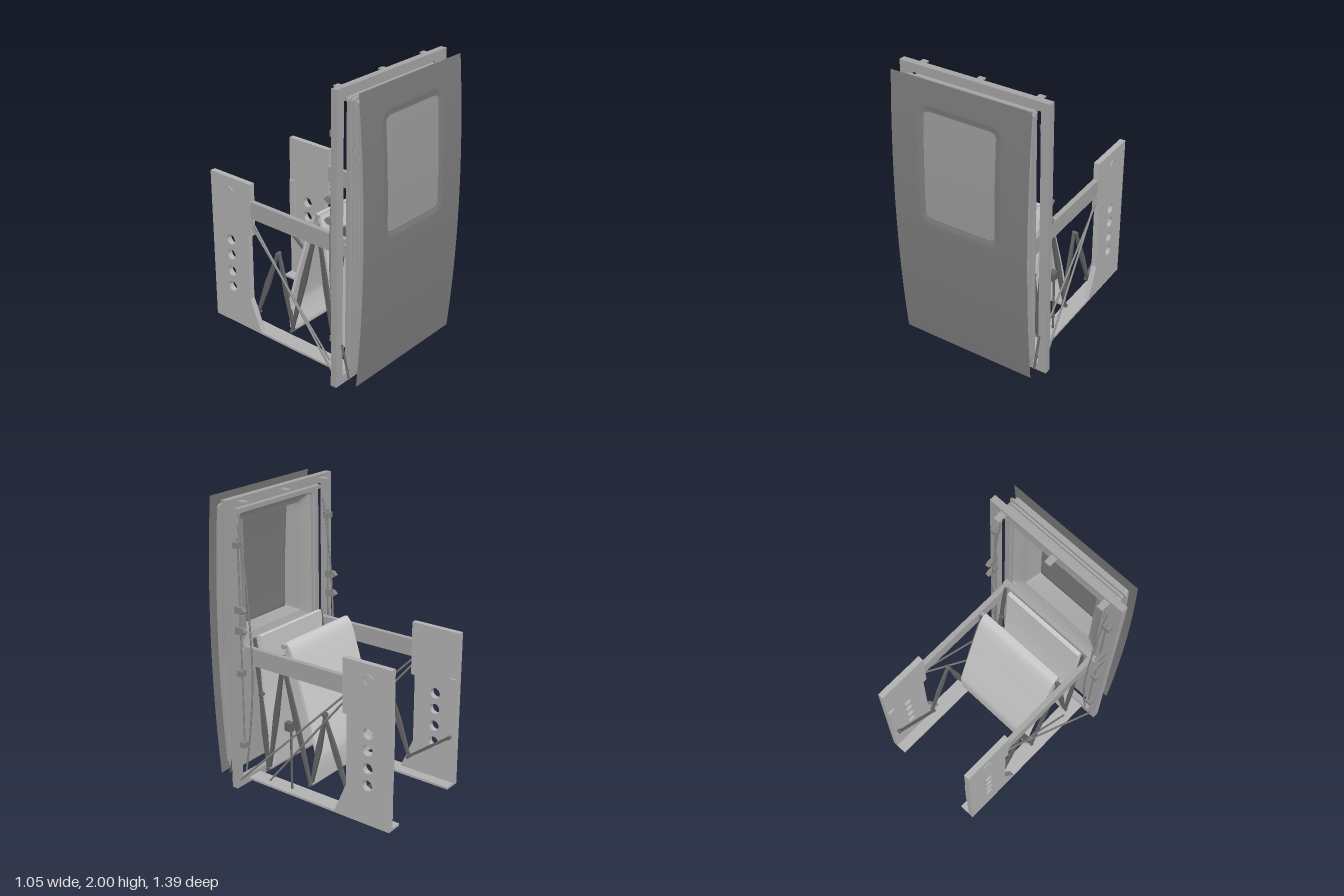
import * as THREE from 'three';
import { toCreasedNormals } from 'three/addons/utils/BufferGeometryUtils.js';

const paint = (color, side = THREE.FrontSide) => new THREE.MeshStandardMaterial({ color, side });
const grey = paint(0xb2b2b2);
const frameGrey = paint(0xa4a4a4);
const panelGrey = paint(0xcccccc);
const dark = paint(0x646464);
const steel = paint(0x868686);
const skinGrey = paint(0x7c7c7c, THREE.DoubleSide);
const paneGrey = paint(0x9a9a9a, THREE.DoubleSide);
const liningGrey = paint(0xa4a4a4, THREE.DoubleSide);
const V = (x, y, z) => new THREE.Vector3(x, y, z);

export function createModel() {
  const root = new THREE.Group();
  const add = (name, geo, mat = grey) => {
    const m = new THREE.Mesh(geo, mat);
    m.name = name;
    root.add(m);
    return m;
  };
  // box given by its limits on each axis
  const box = (name, x0, x1, y0, y1, z0, z1, mat) =>
    add(name, new THREE.BoxGeometry(Math.abs(x1 - x0), y1 - y0, z1 - z0), mat)
      .position.set((x0 + x1) / 2, (y0 + y1) / 2, (z0 + z1) / 2);
  // round bar between two points
  const rod = (name, a, b, r, mat, sides = 12) => {
    const d = b.clone().sub(a);
    const m = add(name, new THREE.CylinderGeometry(r, r, d.length(), sides), mat);
    m.position.copy(a).addScaledVector(d, 0.5);
    m.quaternion.setFromUnitVectors(V(0, 1, 0), d.normalize());
  };
  // side profile of [z, y] points, extruded along x about a centre
  const profile = (name, pts, x, width, mat, holes = []) => {
    const s = new THREE.Shape(pts.map(p => new THREE.Vector2(p[0], p[1])));
    for (const [z, y, r] of holes) s.holes.push(new THREE.Path().absarc(z, y, r, 0, Math.PI * 2, true));
    const g = new THREE.ExtrudeGeometry(s, { depth: width, bevelEnabled: false, curveSegments: 24 });
    g.rotateY(-Math.PI / 2).translate(x + width / 2, 0, 0);
    add(name, toCreasedNormals(g, 0.4), mat);
  };
  // flat bar that widens in the middle
  const link = (x, a, b, w = 0.021) => {
    const dz = b[0] - a[0], dy = b[1] - a[1], l = Math.hypot(dz, dy);
    const at = (t, o) => [a[0] + dz * t - dy / l * o, a[1] + dy * t + dz / l * o];
    profile('foldingLink', [at(-0.01, 0.008), at(0.5, w), at(1.01, 0.008), at(1.01, -0.008), at(0.5, -w), at(-0.01, -0.008)], x, 0.018, dark);
  };
  // rounded rectangle with split long sides so that it can be bent
  const roundRect = (hx, y0, y1, r, n = 14) => {
    const pts = [];
    const corner = (cx, cy, a0) => {
      for (let i = 0; i <= 5; i++) {
        const a = a0 + i / 5 * Math.PI / 2;
        pts.push(new THREE.Vector2(cx + r * Math.cos(a), cy + r * Math.sin(a)));
      }
    };
    const edge = (x, a, b) => {
      for (let i = 1; i < n; i++) pts.push(new THREE.Vector2(x, a + (b - a) * i / n));
    };
    corner(-hx + r, y0 + r, Math.PI);
    corner(hx - r, y0 + r, -Math.PI / 2);
    edge(hx, y0 + r, y1 - r);
    corner(hx - r, y1 - r, 0);
    corner(-hx + r, y1 - r, Math.PI / 2);
    edge(-hx, y1 - r, y0 + r);
    return pts;
  };
  const bow = y => -0.05 * (y - 1) ** 2;

  // bowed outer skin with a shallow dish around the window
  const skinZ = (x, y) => {
    const qx = Math.abs(x) - 0.215, qy = Math.abs(y - 1.43) - 0.33;
    const d = Math.hypot(Math.max(qx, 0), Math.max(qy, 0)) + Math.min(Math.max(qx, qy), 0) - 0.04;
    return 0.693 + bow(y) - 0.008 * (1 - THREE.MathUtils.smoothstep(d, -0.005, 0.045));
  };
  const bend = (g, rule) => {
    const p = g.attributes.position;
    for (let i = 0; i < p.count; i++) p.setXYZ(i, ...rule(p.getX(i), p.getY(i)));
    g.computeVertexNormals();
    return g;
  };
  add('doorSkin', bend(new THREE.PlaneGeometry(0.98, 1.95, 90, 160).translate(0, 1.025, 0),
    (x, y) => [x, y, skinZ(x, y)]), skinGrey);

  // window pane with rounded corners
  add('windowPane', bend(new THREE.PlaneGeometry(2, 0.74, 40, 74).translate(0, 1.43, 0), (x, y) => {
    const r = 0.035, c = Math.max(0, Math.abs(y - 1.43) - 0.37 + r);
    const px = x / 2 * 2 * (0.255 - r + Math.sqrt(Math.max(0, r * r - c * c)));
    return [px, y, skinZ(px, y) + 0.0015];
  }), paneGrey);

  // stacked door rings behind the skin
  [[0.44, 0.515, 0.03], [0.455, 0.545, 0.014], [0.435, 0.559, 0.022], [0.455, 0.581, 0.014],
    [0.44, 0.595, 0.022], [0.465, 0.617, 0.014], [0.45, 0.631, 0.035]].forEach(([hx, z, depth], i) => {
    const s = new THREE.Shape(roundRect(hx, 0.56 - hx, 1.49 + hx, 0.02));
    s.holes.push(new THREE.Path(roundRect(0.37, 0.98, 1.88, 0.03).reverse()));
    const g = new THREE.ExtrudeGeometry(s, { depth, bevelEnabled: false });
    const q = g.attributes.position;
    for (let k = 0; k < q.count; k++) q.setZ(k, q.getZ(k) + z + bow(q.getY(k)) * i / 6);
    g.computeVertexNormals();
    add('doorLayer', g, frameGrey);
  });

  // tapered lining from the back of the door to the window
  const loops = [[0.39, 0.96, 1.9, 0.51, 0.03], [0.36, 0.99, 1.87, 0.535, 0.02],
    [0.285, 1.04, 1.82, 0.56, 0.008], [0.258, 1.055, 1.805, 0.678, 0.008]];
  const pos = [], idx = [], n = roundRect(1, 0, 2, 0.05).length;
  loops.forEach(([hx, a, b, z, r], j) => {
    roundRect(hx, a, b, r).forEach((v, i) => {
      pos.push(v.x, v.y, z + (j === 3 ? bow(v.y) : 0));
      if (j < 3) {
        const c = j * n + i, e = j * n + (i + 1) % n;
        idx.push(c, c + n, e, e, c + n, e + n);
      }
    });
  });
  const lining = new THREE.BufferGeometry();
  lining.setAttribute('position', new THREE.Float32BufferAttribute(pos, 3));
  lining.setIndex(idx);
  add('windowLining', toCreasedNormals(lining, 0.4), liningGrey);

  // door frame
  const outer = new THREE.Shape([[-0.525, 0], [0.525, 0], [0.525, 2], [-0.525, 2]].map(a => new THREE.Vector2(...a)));
  outer.holes.push(new THREE.Path([[-0.465, 0.06], [-0.465, 1.94], [0.465, 1.94], [0.465, 0.06]].map(a => new THREE.Vector2(...a))));
  add('doorFrame', new THREE.ExtrudeGeometry(outer, { depth: 0.045, bevelEnabled: false }).translate(0, 0, 0.47), frameGrey);
  for (const x of [-0.41, 0, 0.41]) box('topClip', x - 0.022, x + 0.022, 1.972, 1.98, 0.405, 0.475, frameGrey);
  box('topCrossbar', -0.42, 0.42, 1.9, 1.925, 0.475, 0.515, frameGrey);
  box('middleCrossbar', -0.42, 0.42, 0.95, 0.975, 0.475, 0.515, frameGrey);

  for (const s of [-1, 1]) {
    // side post with round holes, foot rail and arm
    profile('sidePost', [[-0.695, 0.02], [-0.265, 0.02], [-0.265, 0.04], [-0.36, 0.26], [-0.36, 0.75], [-0.33, 0.75], [-0.33, 1.125], [-0.695, 1.125]],
      s * 0.385, 0.04, grey, [0.3, 0.42, 0.545, 0.66].map(y => [-0.525, y, 0.037]));
    box('footRail', s * 0.29, s * 0.405, 0.02, 0.036, -0.695, 0.47);
    box('arm', s * 0.367, s * 0.403, 0.88, 1, -0.34, 0.48, frameGrey);
    box('postFoot', s * 0.4, s * 0.407, 0.025, 0.07, -0.54, -0.5);
    const hook = add('postHook', new THREE.TorusGeometry(0.034, 0.004, 8, 24, Math.PI * 1.4));
    hook.position.set(s * 0.406, 1.02, -0.525);
    hook.rotation.y = Math.PI / 2;
    box('postInnerPlate', s * 0.352, s * 0.367, 0.36, 0.8, -0.69, -0.64);

    // diagonal stays
    rod('outerStay', V(s * 0.395, 0.86, -0.33), V(s * 0.49, 0.05, 0.475), 0.007, steel);
    rod('innerStay', V(s * 0.395, 0.82, -0.33), V(s * 0.36, 0.04, 0.32), 0.007, steel);

    // folding links and their pivots
    const knees = [[0.39, 0.66], [0.34, 0.12], [0.2, 0.97], [-0.025, 0.12], [-0.145, 0.66], [-0.34, 0.14], [-0.66, 0.38]];
    knees.forEach((k, i) => {
      if (i) link(s * (i % 2 ? 0.35 : 0.335), knees[i - 1], k, i === 6 ? 0.01 : 0.021);
      rod('pivot', V(s * 0.325, k[1], k[0]), V(s * 0.363, k[1], k[0]), 0.013, dark, 14);
    });
    link(s * 0.35, [0.43, 1.05], [0.39, 0.66], 0.014);

    // bowed bars and catches on the back of the frame
    const bar = new THREE.CatmullRomCurve3([[1.83, 0.47], [1.55, 0.425], [1.2, 0.395], [0.8, 0.385], [0.4, 0.42], [0.1, 0.465]]
      .map(([y, z]) => V(s * 0.435, y, z)));
    add('bowedBar', new THREE.TubeGeometry(bar, 30, 0.006, 8), steel);
    rod('latchRod', V(s * 0.46, 1.75, 0.45), V(s * 0.46, 0.3, 0.45), 0.006, steel);
    rod('lowerCatch', V(s * 0.475, 0.07, 0.58), V(s * 0.475, 0.3, 0.52), 0.008, dark);
    for (const y of [1.71, 0.84, 0.32]) box('hinge', s * 0.44, s * 0.49, y - 0.02, y + 0.02, 0.43, 0.475, steel);
    for (const y of [1.28, 1.14]) {
      profile('latch', [[0.475, y - 0.025], [0.475, y + 0.025], [0.41, y + 0.025], [0.385, y], [0.41, y - 0.02]], s * 0.478, 0.03, steel);
    }
  }

  // folded panels hanging between the links
  const panel = (name, pts, t, width) => {
    const c = new THREE.SplineCurve(pts.map(a => new THREE.Vector2(...a))).getPoints(24).map(v => [v.x, v.y]);
    profile(name, [...c, ...c.map(([z, y]) => [z + t, y]).reverse()], -0.01, width, panelGrey);
  };
  panel('rearPanel', [[0.185, 1.06], [0.14, 0.995], [0.05, 0.71], [-0.05, 0.38], [-0.065, 0.27], [-0.055, 0.13]], 0.022, 0.655);
  panel('middlePanel', [[0.19, 1.05], [0.225, 0.9], [0.285, 0.5], [0.325, 0.13]], 0.022, 0.64);
  panel('frontPanel', [[0.405, 1.06], [0.395, 0.7], [0.37, 0.4], [0.35, 0.13]], 0.03, 0.64);
  rod('topHinge', V(-0.345, 1.045, 0.195), V(0.345, 1.045, 0.195), 0.015, frameGrey, 16);
  rod('bottomHinge', V(-0.345, 0.12, 0.34), V(0.345, 0.12, 0.34), 0.014, frameGrey, 16);
  rod('panelFootRod', V(-0.345, 0.12, -0.03), V(0.345, 0.12, -0.03), 0.012, frameGrey, 16);

  // upright with a control box
  rod('upright', V(0.35, 0.03, 0.135), V(0.35, 0.5, 0.135), 0.008, dark);
  box('controlBox', 0.33, 0.37, 0.465, 0.525, 0.12, 0.175, dark);

  return root;
}
